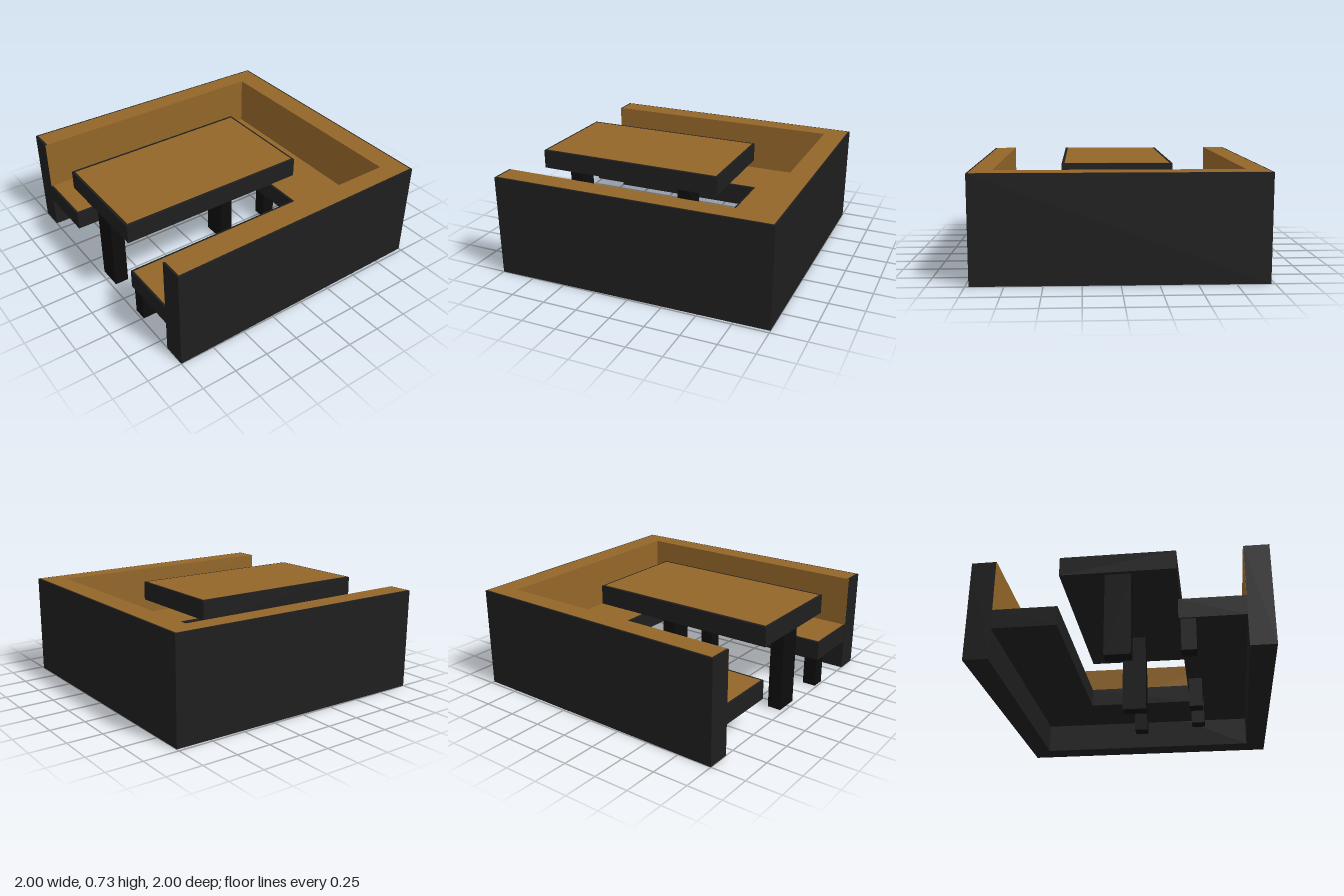
import * as THREE from 'three';

const dark = new THREE.MeshStandardMaterial({ color: 0x1e1e1e });
const legDark = new THREE.MeshStandardMaterial({ color: 0x0d0d0d });
const wood = new THREE.MeshStandardMaterial({ color: 0x936628 });
const CAP = 0.002; // thickness of the wooden facings

// U-shaped plan, open to the front: back and front half widths outside, then the inner cut
function uPlan(outBack, outFront, back, inner, innerBack, front) {
  return [
    [-outBack, back], [outBack, back], [outFront, front], [inner, front],
    [inner, innerBack], [-inner, innerBack], [-inner, front], [-outFront, front],
  ];
}

// Solid with an (x, z) plan between two heights
function slab(name, plan, bottom, top, material) {
  const shape = new THREE.Shape(plan.map(([x, z]) => new THREE.Vector2(x, z)));
  const geometry = new THREE.ExtrudeGeometry(shape, { depth: top - bottom, bevelEnabled: false });
  geometry.rotateX(Math.PI / 2);
  geometry.translate(0, top, 0);
  const mesh = new THREE.Mesh(geometry, material);
  mesh.name = name;
  return mesh;
}

// Box given by its limits on each axis
function box(name, [x0, x1], [y0, y1], [z0, z1], material) {
  const mesh = new THREE.Mesh(new THREE.BoxGeometry(x1 - x0, y1 - y0, z1 - z0), material);
  mesh.position.set((x0 + x1) / 2, (y0 + y1) / 2, (z0 + z1) / 2);
  mesh.name = name;
  return mesh;
}

export function createModel() {
  const model = new THREE.Group();
  model.name = 'boothWithTable';

  // Surrounding wall, slightly narrower at the back, with a wooden top
  model.add(slab('wall', uPlan(0.975, 1, -1, 0.83, -0.83, 1), 0, 0.73 - CAP, dark));
  model.add(slab('wallTop', uPlan(0.963, 0.985, -0.988, 0.83, -0.83, 0.985), 0.73 - CAP, 0.73, wood));

  // Wooden backrest facings inside the wall
  const restY = [0.36, 0.73];
  model.add(box('backrestBack', [-0.83, 0.83], restY, [-0.83, -0.83 + CAP], wood));
  for (const side of [-1, 1]) {
    const xs = [side * 0.83, side * (0.83 - CAP)].sort((a, b) => a - b);
    model.add(box(side > 0 ? 'backrestLeft' : 'backrestRight', xs, restY, [-0.83, 1], wood));
  }

  // Bench running round three sides
  model.add(slab('bench', uPlan(0.83, 0.83, -0.83, 0.393, -0.395, 0.998), 0.22, 0.36 - CAP, dark));
  model.add(slab('benchTop', uPlan(0.83, 0.83, -0.83, 0.41, -0.41, 0.985), 0.36 - CAP, 0.36, wood));

  // Bench legs
  const benchLegs = [[0.455, 0.935], [0.455, 0], [0.455, -0.345], [0, -0.452]];
  for (const [x, z] of benchLegs) {
    model.add(box('benchLeg', [x - 0.049, x + 0.049], [0, 0.22], [z - 0.05, z + 0.05], legDark));
  }

  // Table
  const table = new THREE.Group();
  table.name = 'table';
  table.add(box('tabletop', [-0.393, 0.39], [0.59, 0.73 - CAP], [-0.395, 0.998], dark));
  table.add(box('tabletopSurface', [-0.372, 0.37], [0.73 - CAP, 0.73], [-0.38, 0.982], wood));
  for (const z of [0.92, -0.01]) {
    table.add(box('tableLeg', [-0.09, 0.086], [0, 0.59], [z - 0.05, z + 0.05], legDark));
  }
  model.add(table);

  return model;
}
